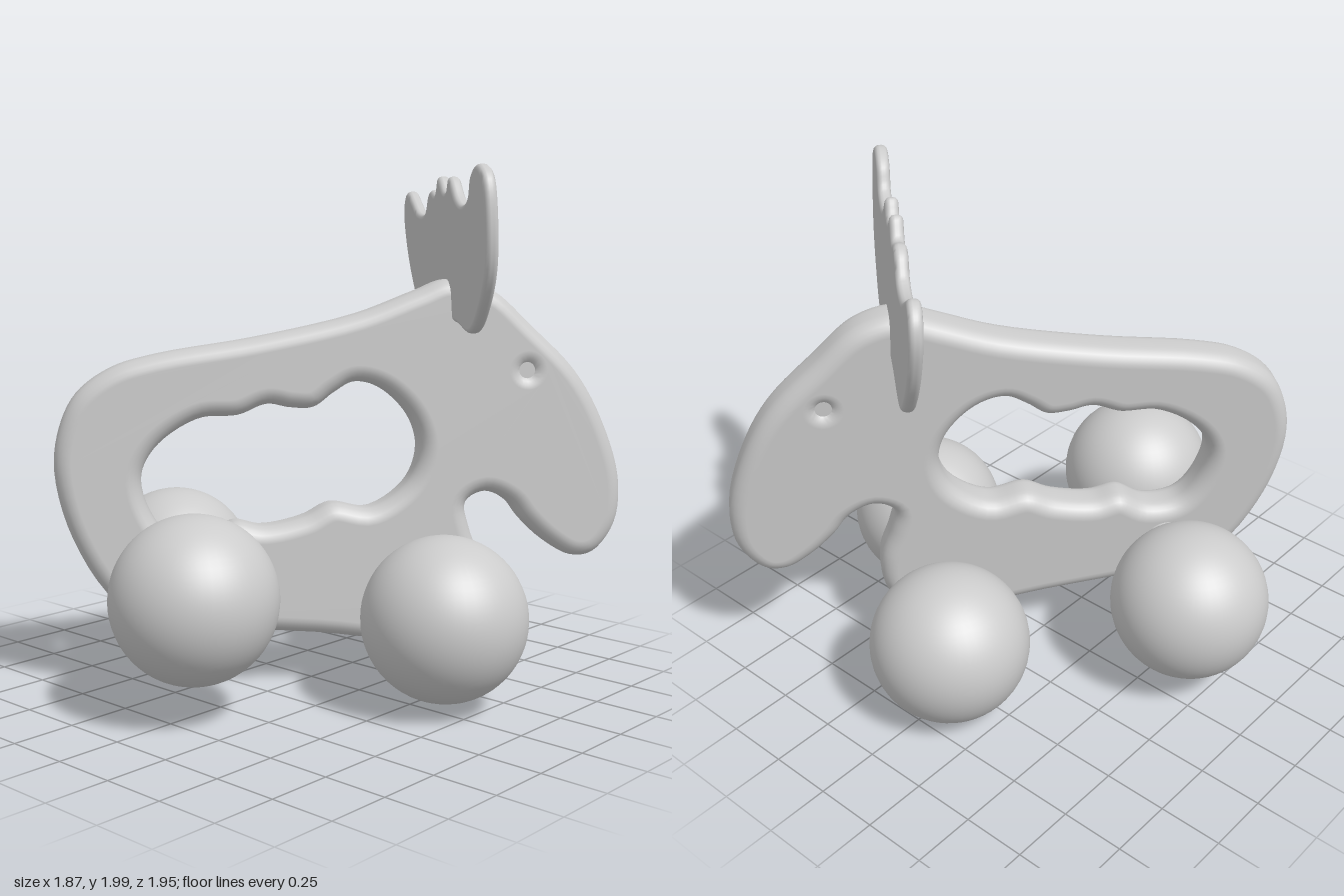
import * as THREE from 'three';
import { toCreasedNormals } from 'three/addons/utils/BufferGeometryUtils.js';

const material = new THREE.MeshStandardMaterial({ color: 0xcccccc });

function add(parent, name, geometry) {
  const mesh = new THREE.Mesh(geometry, material);
  mesh.name = name;
  parent.add(mesh);
  return mesh;
}

// Smooth closed loop through a few points, always counter-clockwise
function loop(points, count) {
  const curve = new THREE.CatmullRomCurve3(points.map(([x, y]) => new THREE.Vector3(x, y, 0)), true, 'centripetal');
  const result = curve.getPoints(count).slice(0, -1).map(p => new THREE.Vector2(p.x, p.y));
  return THREE.ShapeUtils.isClockWise(result) ? result.reverse() : result;
}

// Plate of given thickness with rounded edges and flat faces, centred on z = 0
function roundedPlate(shape, thickness, bevel, segments) {
  const depth = thickness - 2 * bevel;
  const extruded = new THREE.ExtrudeGeometry(shape, {
    depth, bevelThickness: bevel, bevelSize: bevel, bevelOffset: -bevel, bevelSegments: segments, curveSegments: 16,
  });
  extruded.translate(0, 0, -depth / 2);
  const geometry = toCreasedNormals(extruded, 0.9);
  const { position, normal } = geometry.attributes;
  for (let i = 0; i < position.count; i++) {
    const z = position.getZ(i);
    if (Math.abs(z) > thickness / 2 - 1e-4) normal.setXYZ(i, 0, 0, Math.sign(z));
  }
  return geometry;
}

// Side outline: back, head, snout, throat, chest, belly
const bodyOutline = [
  [-0.985, 0.86], [-0.965, 1.02], [-0.9, 1.15], [-0.77, 1.245], [-0.6, 1.295], [-0.22, 1.355], [0.17, 1.44],
  [0.4, 1.525], [0.53, 1.57], [0.7, 1.53], [0.86, 1.39], [1.04, 1.21], [1.15, 1.02], [1.225, 0.78],
  [1.21, 0.6], [1.12, 0.485], [1.03, 0.475], [0.925, 0.535], [0.83, 0.625], [0.77, 0.7], [0.675, 0.74],
  [0.6, 0.7], [0.615, 0.6], [0.66, 0.465], [0.655, 0.33], [0.59, 0.215], [0.42, 0.16], [0, 0.205],
  [-0.4, 0.24], [-0.57, 0.255], [-0.76, 0.35], [-0.92, 0.6],
];

// Grip opening with finger waves
const gripOutline = [
  [-0.66, 0.84], [-0.6, 0.95], [-0.44, 1.05], [-0.29, 1.06], [-0.18, 1.1], [-0.09, 1.085], [0, 1.085],
  [0.08, 1.14], [0.16, 1.18], [0.27, 1.15], [0.38, 1.04], [0.415, 0.92], [0.37, 0.79], [0.22, 0.69],
  [0.07, 0.71], [-0.04, 0.66], [-0.2, 0.63], [-0.31, 0.65], [-0.42, 0.59], [-0.55, 0.6], [-0.63, 0.7],
];

// Antler outline, in projected width
const antlerOutline = [
  [-0.215, 1.8], [-0.2, 1.875], [-0.15, 1.915], [-0.085, 1.875], [-0.02, 1.83], [0.06, 1.82], [0.1, 1.835],
  [0.14, 1.895], [0.175, 1.915], [0.23, 1.9], [0.277, 1.965], [0.335, 1.91], [0.37, 1.91], [0.405, 1.96],
  [0.48, 1.88], [0.54, 1.855], [0.615, 1.88], [0.65, 1.955], [0.72, 1.995], [0.79, 1.95], [0.812, 1.81],
  [0.79, 1.625], [0.705, 1.48], [0.59, 1.385], [0.43, 1.41], [0.2, 1.41], [0.01, 1.385], [-0.1, 1.5], [-0.18, 1.65],
];

export function createModel() {
  const model = new THREE.Group();
  model.name = 'antleredRollingToy';
  const yaw = 0.897;

  // Slab body, turned diagonally and leaning slightly
  const body = new THREE.Group();
  body.name = 'body';
  body.rotation.set(-0.04, yaw, 0, 'YXZ');
  body.position.set(0.042, 0, 0.033);
  model.add(body);

  const eye = [0.837, 1.215];
  const shape = new THREE.Shape(loop(bodyOutline, 160));
  shape.holes.push(new THREE.Path(loop(gripOutline, 120)));
  shape.holes.push(new THREE.Path().absarc(eye[0], eye[1], 0.012, 0, Math.PI * 2, false));
  add(body, 'torsoAndHead', roundedPlate(shape, 0.182, 0.064, 6));

  // Floor of the eye dimples
  const eyeFloor = add(body, 'eyeDimples', new THREE.CylinderGeometry(0.045, 0.045, 0.146, 20));
  eyeFloor.rotation.x = Math.PI / 2;
  eyeFloor.position.set(eye[0], eye[1], 0);

  // Antlers: one thin plate across the head, leaning back a little
  const antlerMount = new THREE.Group();
  antlerMount.name = 'antlerMount';
  antlerMount.rotation.y = yaw;
  model.add(antlerMount);
  const antlerShape = new THREE.Shape(loop(antlerOutline.map(([x, y]) => [(x - 0.336) / 0.783, y]), 170));
  const antlers = add(antlerMount, 'antlers', roundedPlate(antlerShape, 0.05, 0.02, 3));
  antlers.rotation.set(0, -Math.PI / 2, 0.05, 'ZYX');
  antlers.position.x = 0.628;

  // Ball wheels in pairs, each pair joined by an axle through the body
  const axles = [
    ['rear', new THREE.Vector3(-0.63, 0.39, 0.14), new THREE.Vector3(0.04, 0.45, 0.665)],
    ['front', new THREE.Vector3(-0.03, 0.31, -0.59), new THREE.Vector3(0.625, 0.345, -0.04)],
  ];
  for (const [name, right, left] of axles) {
    for (const [side, centre] of [['Right', right], ['Left', left]]) {
      add(model, name + side + 'Wheel', new THREE.SphereGeometry(0.309, 48, 32)).position.copy(centre);
    }
    const span = left.clone().sub(right);
    const axle = add(model, name + 'Axle', new THREE.CylinderGeometry(0.1, 0.1, span.length(), 32));
    axle.position.copy(right).add(left).multiplyScalar(0.5);
    axle.quaternion.setFromUnitVectors(new THREE.Vector3(0, 1, 0), span.normalize());
  }
  return model;
}
